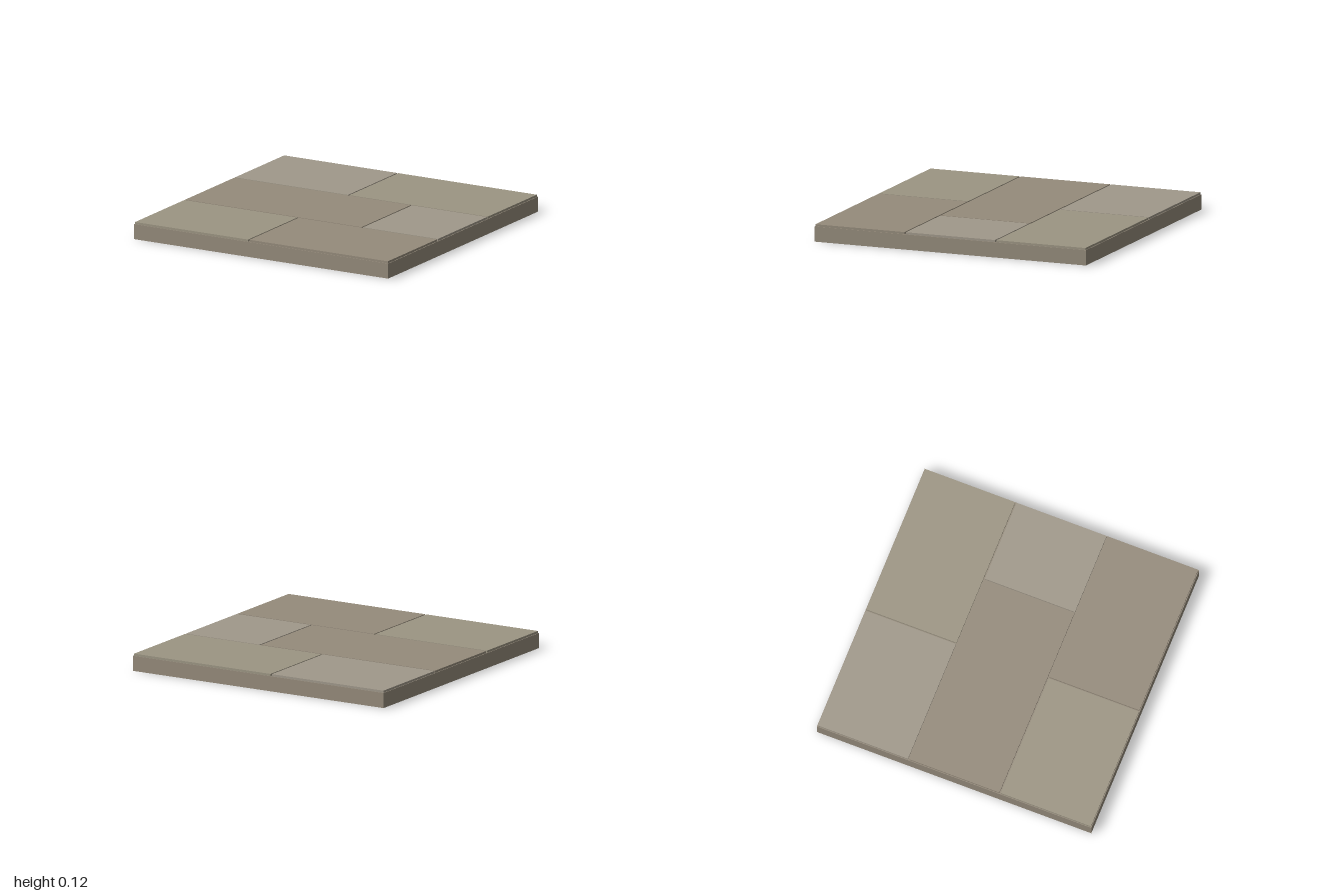
import * as THREE from 'three';

const HEIGHT = 0.12;   // overall height
const BASE_TOP = 0.105; // bottom of the joints
const INSET = 0.005;   // half the joint width

const paint = (color) => new THREE.MeshStandardMaterial({ color });

// Box given by its extents on each axis
function slab(name, [x0, x1], [y0, y1], [z0, z1], material) {
  const mesh = new THREE.Mesh(new THREE.BoxGeometry(x1 - x0, y1 - y0, z1 - z0), material);
  mesh.position.set((x0 + x1) / 2, (y0 + y1) / 2, (z0 + z1) / 2);
  mesh.name = name;
  return mesh;
}

export function createModel() {
  const group = new THREE.Group();
  group.name = 'pavedFloorTile';

  const pale = paint(0xa0988a);
  const olive = paint(0x9c9583);
  const brown = paint(0x958b7b);

  // Solid base under the paving stones
  group.add(slab('base', [-1, 1], [0, BASE_TOP], [-1, 1], brown));

  // Three rows from back to front, each split once by a staggered joint
  const rows = [
    { name: 'back', split: -0.1, stones: [pale, olive] },
    { name: 'middle', split: 0.4, stones: [brown, pale] },
    { name: 'front', split: -0.1, stones: [olive, brown] },
  ];
  const depth = 2 / rows.length;

  rows.forEach(({ name, split, stones }, i) => {
    const z = [-1 + i * depth + INSET, -1 + (i + 1) * depth - INSET];
    const y = [BASE_TOP, HEIGHT];
    group.add(slab(`${name}RightStone`, [-1 + INSET, split - INSET], y, z, stones[0]));
    group.add(slab(`${name}LeftStone`, [split + INSET, 1 - INSET], y, z, stones[1]));
  });

  return group;
}
